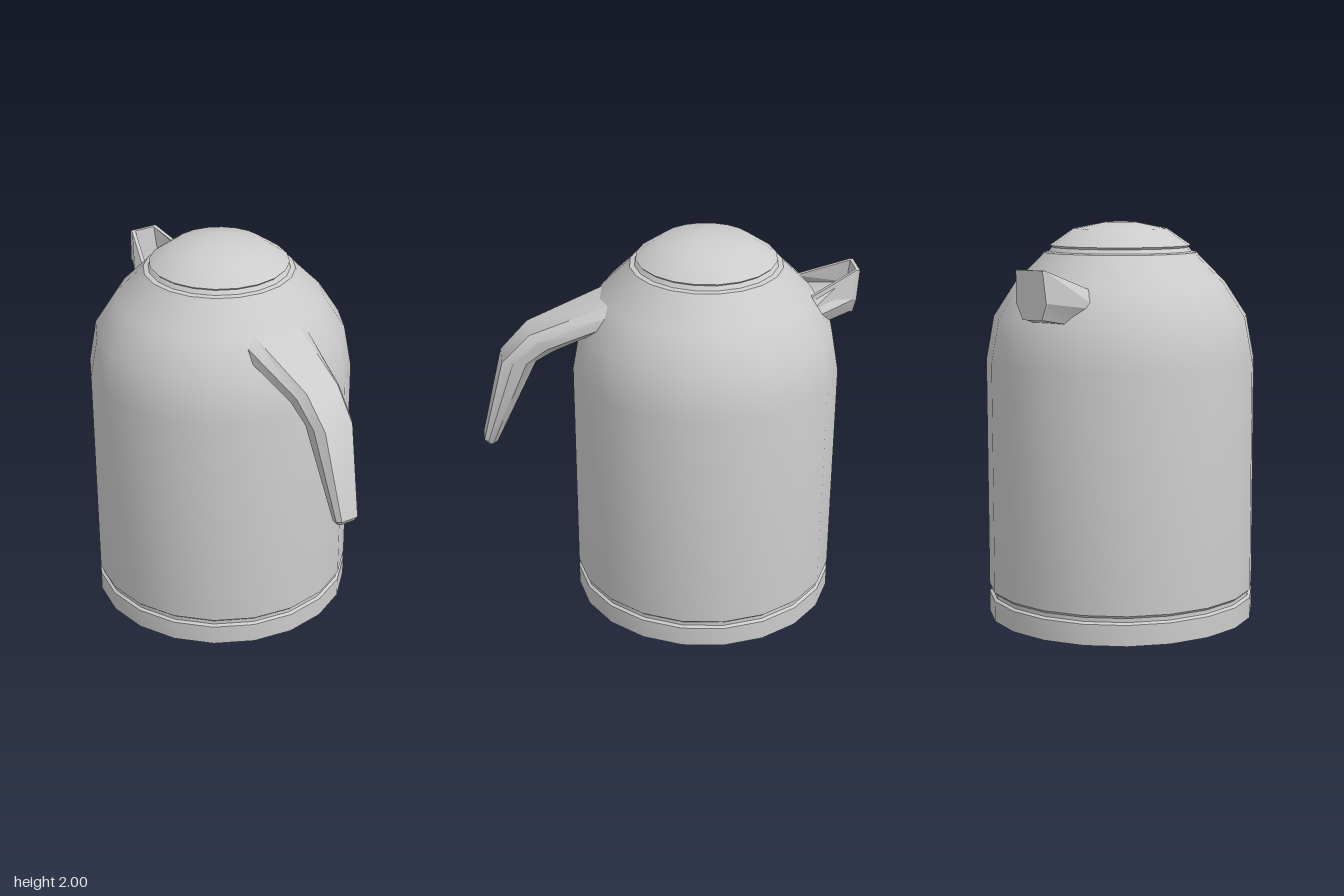
import * as THREE from 'three';
import { toCreasedNormals } from 'three/addons/utils/BufferGeometryUtils.js';

const material = new THREE.MeshStandardMaterial({ color: 0xcccccc, side: THREE.DoubleSide });
const AXIS_Z = -0.19;

function part(name, geometry, crease = 0.6) {
  const mesh = new THREE.Mesh(toCreasedNormals(geometry, crease), material);
  mesh.name = name;
  return mesh;
}

// Skins closed loops of [x, y, z], counter-clockwise when seen from the path's end.
function loft(loops, capped) {
  const n = loops[0].length;
  const index = [];
  for (let i = 0; i < loops.length - 1; i++) {
    for (let j = 0; j < n; j++) {
      const a = i * n + j, b = i * n + (j + 1) % n;
      index.push(a, b, b + n, a, b + n, a + n);
    }
  }
  if (capped) {
    const last = (loops.length - 1) * n;
    for (let j = 1; j < n - 1; j++) {
      index.push(0, j + 1, j, last, last + j, last + j + 1);
    }
  }
  const geometry = new THREE.BufferGeometry();
  geometry.setAttribute('position', new THREE.Float32BufferAttribute(loops.flat(2), 3));
  geometry.setIndex(index);
  return geometry;
}

function lathe(name, profile) {
  const points = profile.map(([r, y]) => new THREE.Vector2(r, y));
  const mesh = part(name, new THREE.LatheGeometry(points, 20));
  mesh.position.z = AXIS_Z;
  return mesh;
}

// Chamfered handle section between a top and a bottom point in the side plane
function handleLoop([zTop, yTop, zBottom, yBottom, w]) {
  const shape = [[0.72, 0], [-0.72, 0], [-1, 0.3], [-1, 0.7],
    [-0.7, 1], [0.7, 1], [1, 0.7], [1, 0.3]];
  return shape.map(([x, t]) => [
    x * w,
    THREE.MathUtils.lerp(yTop, yBottom, t),
    THREE.MathUtils.lerp(zTop, zBottom, t),
  ]);
}

// Spout section: half widths and heights at rim, waist and bottom
function spoutOutline(s) {
  const left = [[-s.rim, s.top], [-s.waist, s.mid], [-s.base, s.bottom]];
  const right = left.map(([x, y]) => [-x, y]).reverse();
  return [...left, ...right];
}

function placeSpout(outline, s) {
  return outline.map(([x, y]) => [-x, y, s.z + (s.top - y) * s.lean]);
}

function spoutTrough(s) {
  const t = 0.02;
  const inner = spoutOutline({
    ...s, rim: s.rim - t, waist: s.waist - t, base: s.base - t * 0.6,
    bottom: s.bottom + 0.06, mid: s.mid + 0.03,
  }).reverse();
  return placeSpout([...spoutOutline(s), ...inner], s);
}

export function createModel() {
  const model = new THREE.Group();
  model.name = 'jug';

  // Base, groove, straight wall and domed shoulder
  model.add(lathe('body', [
    [0, 0], [0.68, 0], [0.68, 0.105], [0.666, 0.115], [0.666, 0.135], [0.68, 0.148],
    [0.68, 1.31], [0.64, 1.53], [0.53, 1.7], [0.4, 1.83], [0.385, 1.85],
    [0.36, 1.855], [0.345, 1.875], [0, 1.875],
  ]));

  // Shallow domed lid
  model.add(lathe('lid', [
    [0, 1.87], [0.34, 1.87], [0.355, 1.885], [0.235, 1.968], [0.075, 2], [0, 2],
  ]));

  // Handle flaring into the shoulder
  model.add(part('handle', loft([
    [0.2, 1.745, 0.25, 1.6, 0.2],
    [0.32, 1.7, 0.42, 1.54, 0.175],
    [0.71, 1.55, 0.59, 1.455, 0.125],
    [0.85, 1.405, 0.68, 1.4, 0.11],
    [0.96, 0.955, 0.89, 0.945, 0.065],
    [0.945, 0.93, 0.905, 0.927, 0.05],
  ].map(handleLoop), true), 0.55));

  // Open trough spout with its end wall
  const spout = new THREE.Group();
  spout.name = 'spout';
  const root = { z: -0.68, lean: 0, rim: 0.16, waist: 0.21, base: 0.14,
    top: 1.69, mid: 1.6, bottom: 1.51 };
  const lip = { z: -0.94, lean: 0.09, rim: 0.077, waist: 0.088, base: 0.055,
    top: 1.795, mid: 1.64, bottom: 1.56 };
  const tip = { ...lip, z: -0.958 };
  spout.add(part('spoutTrough', loft([spoutTrough(root), spoutTrough(lip)], false), 0.4));
  spout.add(part('spoutEnd',
    loft([lip, tip].map((s) => placeSpout(spoutOutline(s), s)), true), 0.4));
  model.add(spout);

  return model;
}
